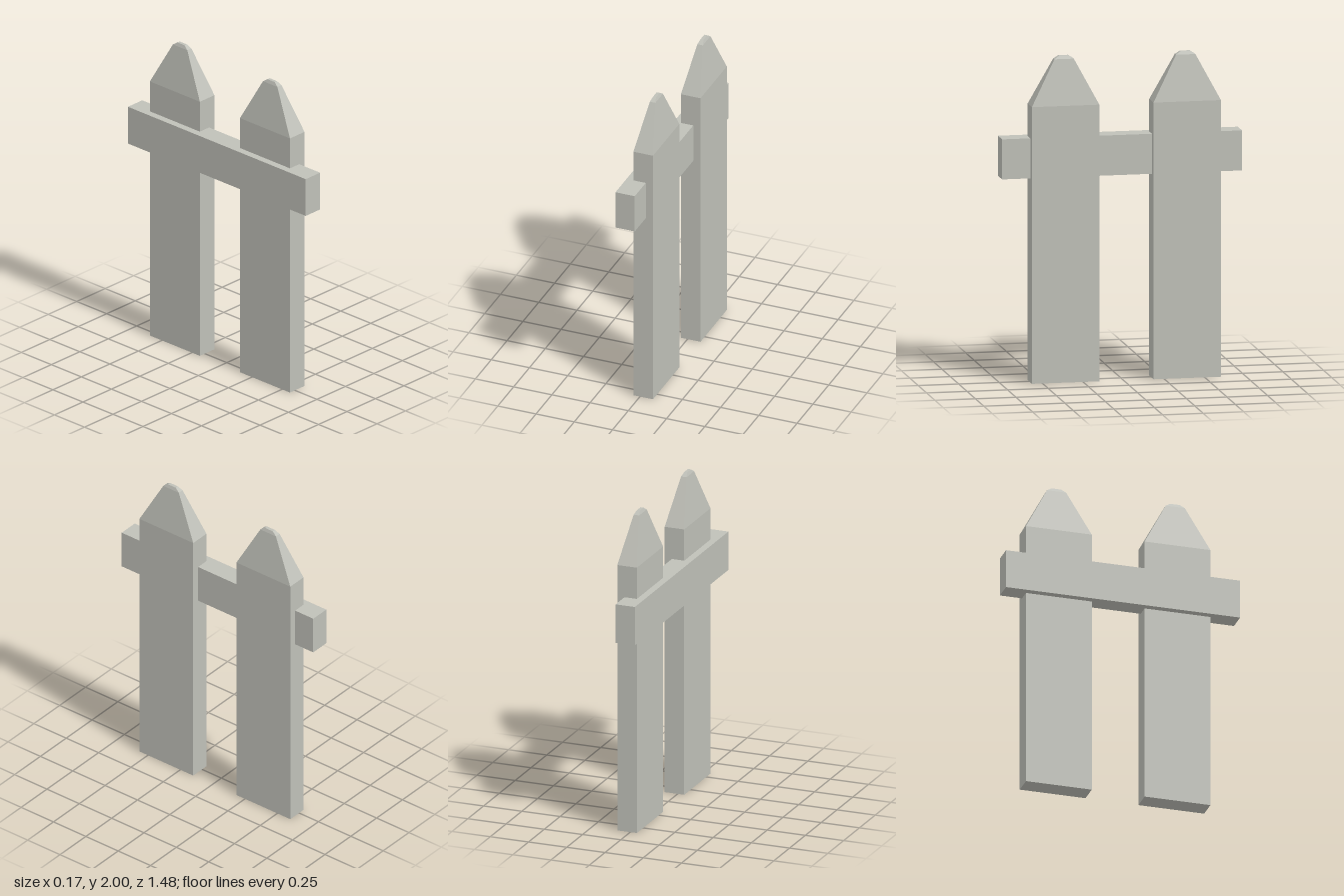
import * as THREE from 'three';

const weatheredWood = new THREE.MeshStandardMaterial({ color: 0xbfc0b8 });
weatheredWood.name = 'weatheredWood';

// Picket levels from the ground up: height, half thickness (x), half width (z)
const LEVELS = [
  [0, 0.064, 0.208],
  [1.7, 0.064, 0.208],
  [1.98, 0.018, 0.06],
  [2.0, 0.01, 0.03],
];

// A box with one row of vertices per level, tapered to a blunt point
function picketGeometry() {
  const rows = LEVELS.length - 1;
  const geometry = new THREE.BoxGeometry(2, 1, 2, 1, rows, 1).toNonIndexed();
  const pos = geometry.attributes.position;
  for (let i = 0; i < pos.count; i++) {
    const [y, halfX, halfZ] = LEVELS[Math.round((pos.getY(i) + 0.5) * rows)];
    pos.setXYZ(i, pos.getX(i) * halfX, y, pos.getZ(i) * halfZ);
  }
  geometry.computeVertexNormals();
  return geometry;
}

export function createModel() {
  const fence = new THREE.Group();
  fence.name = 'picketFence';

  // Two upright pickets
  const geometry = picketGeometry();
  for (const [name, z] of [['frontPicket', 0.358], ['backPicket', -0.392]]) {
    const picket = new THREE.Mesh(geometry, weatheredWood);
    picket.name = name;
    picket.position.set(0.021, 0, z);
    fence.add(picket);
  }

  // Cross rail let into the pickets
  const rail = new THREE.Mesh(new THREE.BoxGeometry(0.126, 0.246, 1.48), weatheredWood);
  rail.name = 'crossRail';
  rail.position.set(-0.025, 1.377, 0);
  fence.add(rail);

  return fence;
}
